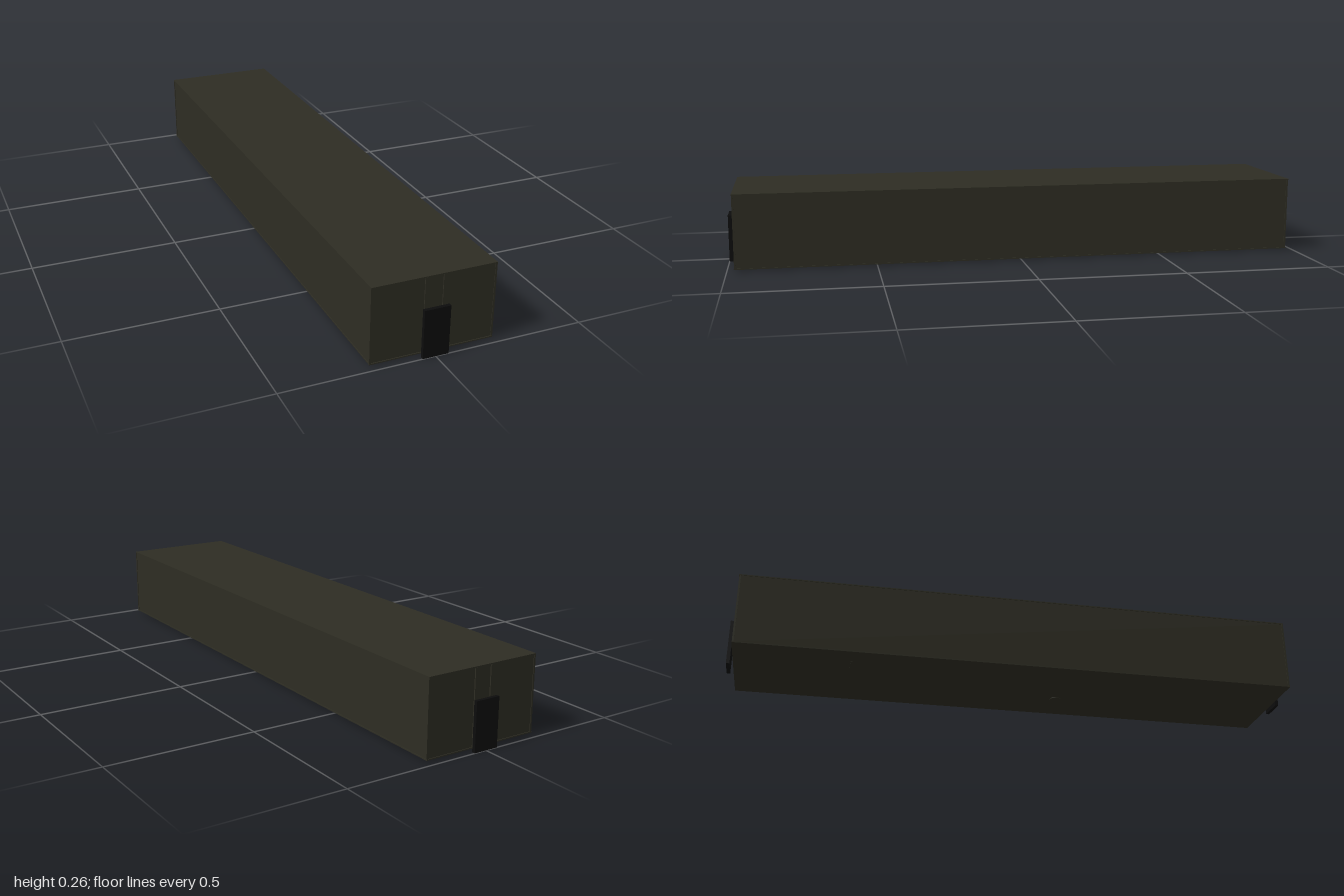
import * as THREE from 'three';

export function createModel() {
  const model = new THREE.Group();
  const olive = new THREE.MeshStandardMaterial({ color: 0x2e2d23 });
  olive.name = 'dark olive';
  const black = new THREE.MeshStandardMaterial({ color: 0x0d0d0d });
  black.name = 'black';

  function add(name, geometry, material, x, y, z) {
    const mesh = new THREE.Mesh(geometry, material);
    mesh.name = name;
    mesh.position.set(x, y, z);
    model.add(mesh);
    return mesh;
  }
  const box = (name, w, h, d, material, x, y, z) =>
    add(name, new THREE.BoxGeometry(w, h, d), material, x, y, z);

  // Long hull, with roof and floor slabs standing slightly proud of the walls
  box('hull', 0.406, 0.247, 1.948, olive, 0, 0.1325, 0);
  box('roof', 0.41, 0.004, 1.954, olive, 0, 0.258, 0);
  box('floor', 0.41, 0.004, 1.954, olive, 0, 0.007, 0);

  // Corner trims along the upright edges
  for (const x of [-1, 1]) for (const z of [-1, 1]) {
    box('cornerTrim', 0.006, 0.247, 0.006, olive, x * 0.202, 0.1325, z * 0.973);
  }

  // Each end: free-standing door plate with two slim rails on the wall behind
  for (const z of [-1, 1]) {
    box(z > 0 ? 'frontDoor' : 'backDoor', 0.086, 0.162, 0.012, black, 0, 0.081, z * 0.994);
    for (const x of [-1, 1]) {
      box('doorRail', 0.006, 0.247, 0.006, olive, x * 0.03, 0.1325, z * 0.975);
    }
  }

  // Small fittings just showing under the floor
  add('floorDisc', new THREE.CylinderGeometry(0.02, 0.02, 0.003, 16), olive, 0.065, 0.0045, 0.175);
  box('floorStrip', 0.07, 0.003, 0.006, olive, -0.095, 0.0045, -0.58);

  return model;
}
